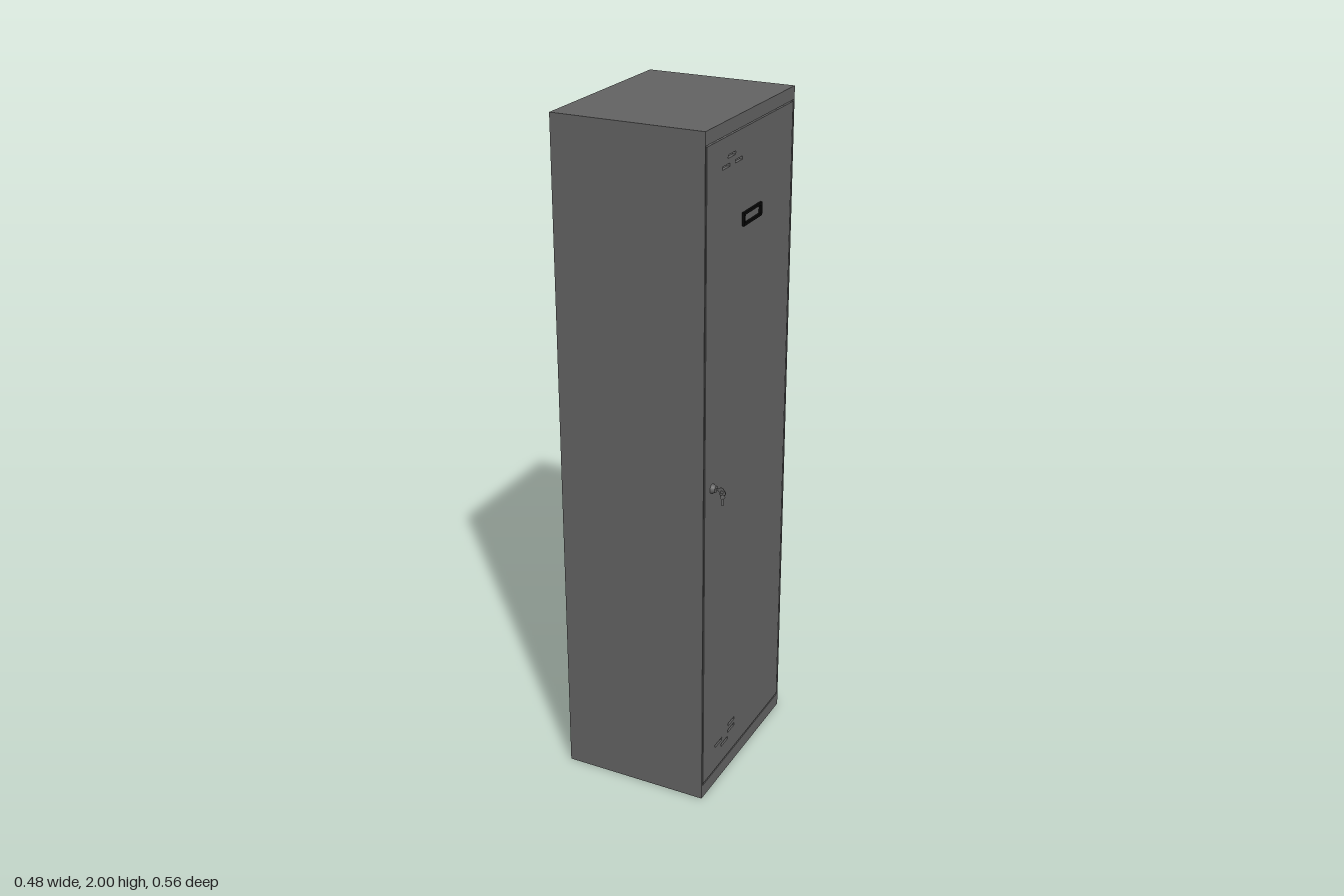
import * as THREE from 'three';

const steel = new THREE.MeshStandardMaterial({ color: 0x626262, side: THREE.DoubleSide });
const black = new THREE.MeshStandardMaterial({ color: 0x080808 });

// Box given by its extents on each axis
function box(name, [x0, x1], [y0, y1], [z0, z1], material = steel) {
  const mesh = new THREE.Mesh(new THREE.BoxGeometry(x1 - x0, y1 - y0, z1 - z0), material);
  mesh.position.set((x0 + x1) / 2, (y0 + y1) / 2, (z0 + z1) / 2);
  mesh.name = name;
  return mesh;
}

function rect(PathType, cx, cy, w, h) {
  const p = new PathType();
  p.moveTo(cx - w / 2, cy - h / 2);
  p.lineTo(cx + w / 2, cy - h / 2);
  p.lineTo(cx + w / 2, cy + h / 2);
  p.lineTo(cx - w / 2, cy + h / 2);
  p.closePath();
  return p;
}

// Plate facing +x, drawn in (-z, y), with its outer face at x
function plate(name, shape, depth, x, material) {
  const geo = new THREE.ExtrudeGeometry(shape, { depth, bevelEnabled: false });
  geo.rotateY(Math.PI / 2);
  const mesh = new THREE.Mesh(geo, material);
  mesh.position.x = x - depth;
  mesh.name = name;
  return mesh;
}

export function createModel() {
  const model = new THREE.Group();
  model.name = 'locker';
  const back = -0.244, front = 0.2, half = 0.278, t = 0.005, inner = half - t;

  // Sheet steel cabinet, open below the raised floor
  const cabinet = new THREE.Group();
  cabinet.name = 'cabinet';
  for (const s of [-1, 1]) {
    const z = s > 0 ? [inner, half] : [-half, -inner];
    cabinet.add(box('sidePanel', [back, front], [0, 2], z));
    // Door stop behind the gap
    const stop = s > 0 ? [inner - 0.02, inner] : [-inner, -inner + 0.02];
    cabinet.add(box('doorStop', [front - 0.02, front - 0.012], [0.044, 1.963], stop));
  }
  cabinet.add(
    box('backPanel', [back, back + t], [0, 2], [-inner, inner]),
    box('topPanel', [back + t, front], [2 - t, 2], [-inner, inner]),
    box('floorPanel', [back + t, front - t], [0.025, 0.03], [-inner, inner]),
    box('topRail', [front - 0.02, front], [1.963, 2 - t], [-inner, inner]),
    box('bottomRail', [front - t, front], [0, 0.042], [-inner, inner]),
    box('sill', [front - 0.02, front - 0.012], [0.03, 0.06], [-inner, inner]),
    box('lintel', [front - 0.02, front - 0.012], [1.945, 1.963], [-inner, inner])
  );
  model.add(cabinet);

  // Door with vent slots, each given as z, y
  const door = rect(THREE.Shape, 0, 1.003, 0.536, 1.912);
  const slots = [
    [0.122, 1.905], [0.156, 1.882], [0.079, 1.882],
    [0.077, 0.15], [0.164, 0.128], [0.079, 0.128], [0.122, 0.106]
  ];
  for (const [z, y] of slots) door.holes.push(rect(THREE.Path, -z, y, 0.045, 0.009));
  model.add(plate('door', door, 0.01, front, steel));

  // Label holder
  const label = rect(THREE.Shape, 0.003, 1.715, 0.115, 0.037);
  label.holes.push(rect(THREE.Path, 0.003, 1.715, 0.099, 0.023));
  model.add(plate('labelFrame', label, 0.007, front + 0.007, black));

  // Lock with a key in it and a spare hanging on the ring
  const lock = new THREE.Group();
  lock.name = 'lock';
  lock.position.set(front, 1, 0.223);
  const barrel = new THREE.Mesh(new THREE.CylinderGeometry(0.01, 0.014, 0.012, 24), steel);
  barrel.name = 'lockBarrel';
  barrel.rotation.z = -Math.PI / 2;
  barrel.position.x = 0.006;
  const blade = box('keyBlade', [0.012, 0.024], [-0.003, 0.003], [-0.001, 0.001]);
  const bow = new THREE.Mesh(new THREE.CylinderGeometry(0.009, 0.009, 0.002, 16), steel);
  bow.name = 'keyBow';
  bow.rotation.x = Math.PI / 2;
  bow.position.x = 0.028;
  const ring = new THREE.Mesh(new THREE.TorusGeometry(0.008, 0.001, 6, 20), steel);
  ring.name = 'keyRing';
  ring.rotation.y = 0.5;
  ring.position.set(0.032, -0.008, 0);
  const spare = new THREE.Group();
  spare.name = 'spareKey';
  const spareBow = bow.clone();
  spareBow.name = 'spareKeyBow';
  spareBow.scale.setScalar(0.8);
  spareBow.position.set(0, 0, 0);
  spare.add(spareBow, box('spareKeyBlade', [-0.0025, 0.0025], [-0.026, -0.006], [-0.001, 0.001]));
  spare.position.set(0.032, -0.019, 0);
  spare.rotation.y = 0.5;
  lock.add(barrel, blade, bow, ring, spare);
  model.add(lock);

  return model;
}
